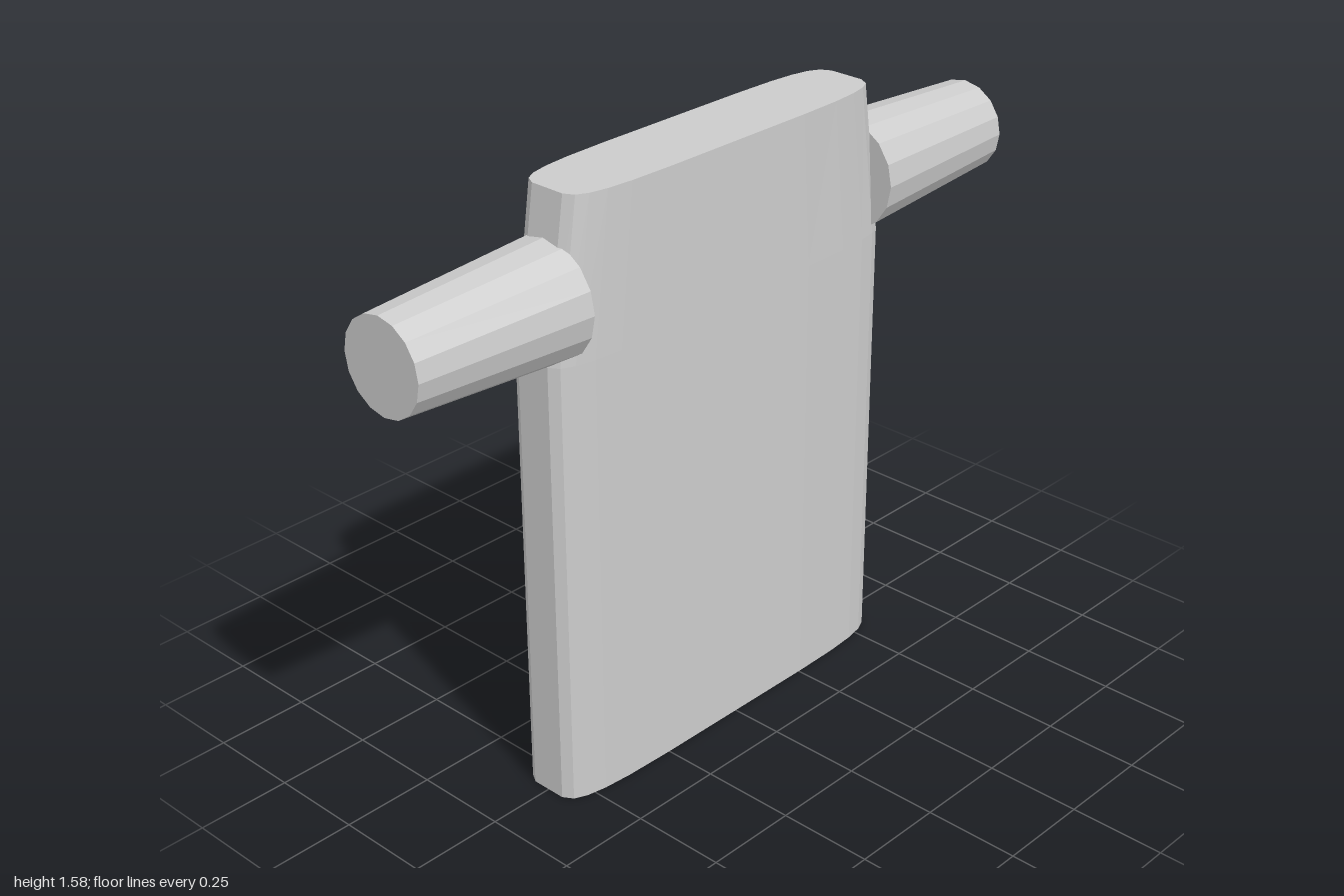
import * as THREE from 'three';

const HEIGHT = 1.58, TAPER_START = 1.18;
const SIDES = 24;

export function createModel() {
  const model = new THREE.Group();
  const material = new THREE.MeshStandardMaterial({ color: 0xcccccc, flatShading: true });

  // Flat torso: rounded-rectangle section, narrowing in width above the armholes
  const torsoGeo = new THREE.CylinderGeometry(1, 1, HEIGHT, SIDES, 2);
  torsoGeo.translate(0, HEIGHT / 2, 0);
  const pos = torsoGeo.attributes.position;
  const power = (v) => Math.sign(v) * Math.abs(v) ** 0.4;
  const half = Math.PI / SIDES; // puts a flat facet on each end
  for (let i = 0; i < pos.count; i++) {
    const x = pos.getX(i), z = pos.getZ(i), y = pos.getY(i);
    const isCentre = Math.hypot(x, z) < 0.01;
    const a = Math.atan2(z, x) + half;
    const width = y > HEIGHT - 0.01 ? 0.51 : 0.572;
    const level = y < 0.01 ? 0 : y > HEIGHT - 0.01 ? HEIGHT : TAPER_START;
    if (isCentre) pos.setXYZ(i, 0, level, 0);
    else pos.setXYZ(i, width * power(Math.cos(a)), level, 0.108 * power(Math.sin(a)));
  }
  const torso = new THREE.Mesh(torsoGeo, material);
  torso.name = 'torso';
  model.add(torso);

  // Tapered sleeves, one on each side
  for (const side of [1, -1]) {
    const sleeveGeo = new THREE.CylinderGeometry(0.12, 0.148, 0.485, 16);
    sleeveGeo.rotateZ(-side * Math.PI / 2);
    const sleeve = new THREE.Mesh(sleeveGeo, material);
    sleeve.name = side > 0 ? 'leftSleeve' : 'rightSleeve';
    sleeve.position.set(side * 0.7575, 1.32, 0);
    model.add(sleeve);
  }
  return model;
}
